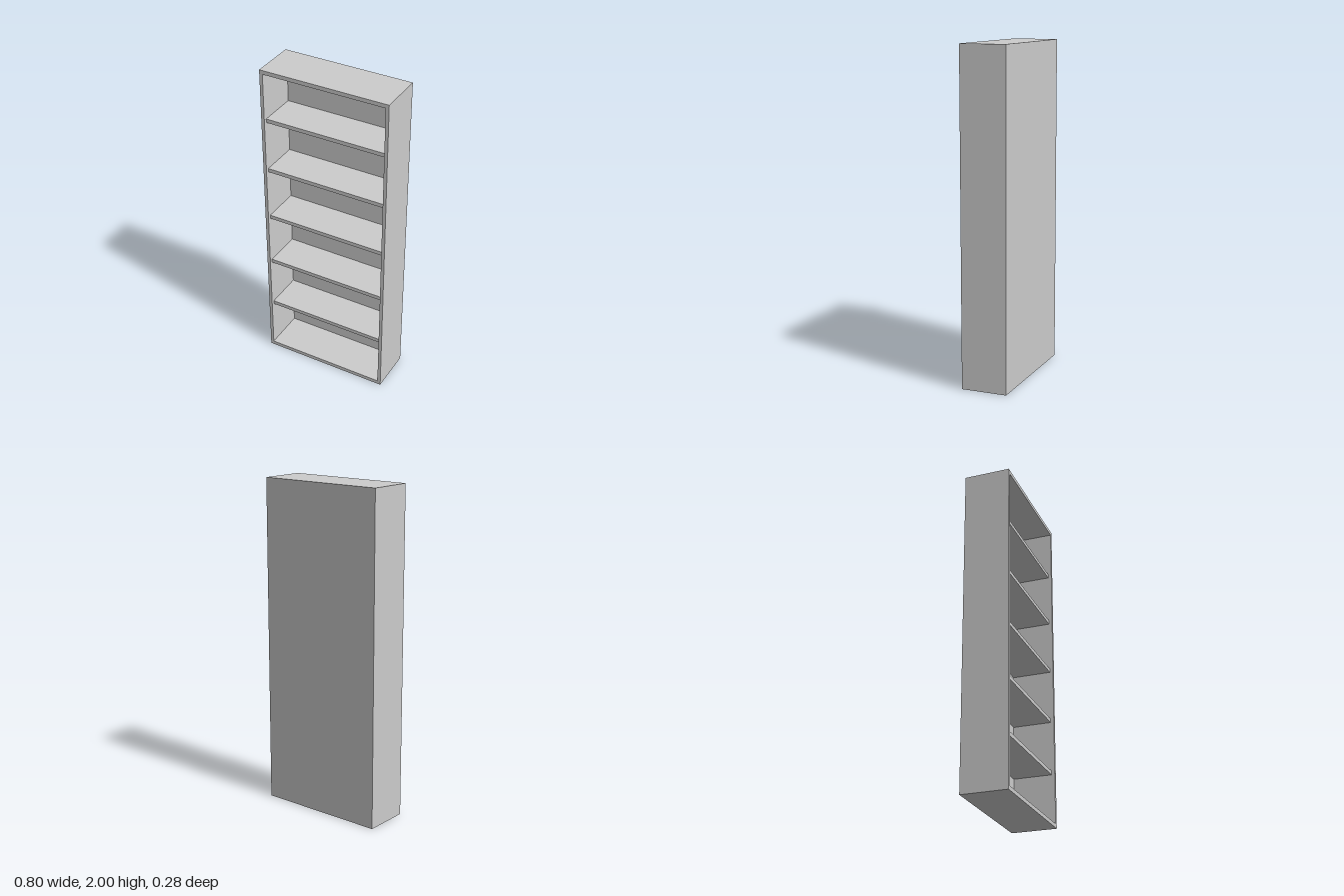
import * as THREE from 'three';

const W = 0.8, H = 2, D = 0.28; // overall size
const SIDE = 0.02, BOARD = 0.024, BACK = 0.02; // board thicknesses
const RECESS = 0.02; // shelves sit slightly behind the front edge
const SHELVES = 5;

export function createModel() {
  const group = new THREE.Group();
  group.name = 'bookcase';
  const material = new THREE.MeshStandardMaterial({ color: 0xcccccc });

  function board(name, w, h, d, x, y, z) {
    const mesh = new THREE.Mesh(new THREE.BoxGeometry(w, h, d), material);
    mesh.name = name;
    mesh.position.set(x, y, z);
    group.add(mesh);
  }

  const innerW = W - 2 * SIDE;

  // Side panels run the full height
  board('leftSide', SIDE, H, D, (W - SIDE) / 2, H / 2, 0);
  board('rightSide', SIDE, H, D, -(W - SIDE) / 2, H / 2, 0);

  // Top and bottom boards fit between the sides
  board('top', innerW, BOARD, D, 0, H - BOARD / 2, 0);
  board('bottom', innerW, BOARD, D, 0, BOARD / 2, 0);

  // Back panel, flush with the rear
  board('back', innerW, H - 2 * BOARD, BACK, 0, H / 2, -(D - BACK) / 2);

  // Evenly spaced shelves
  const shelfD = D - BACK - RECESS;
  for (let i = 1; i <= SHELVES; i++) {
    const y = 0.338 + (i - 1) * 0.3335;
    board(`shelf${i}`, innerW, BOARD, shelfD, 0, y, (BACK - RECESS) / 2);
  }
  return group;
}
